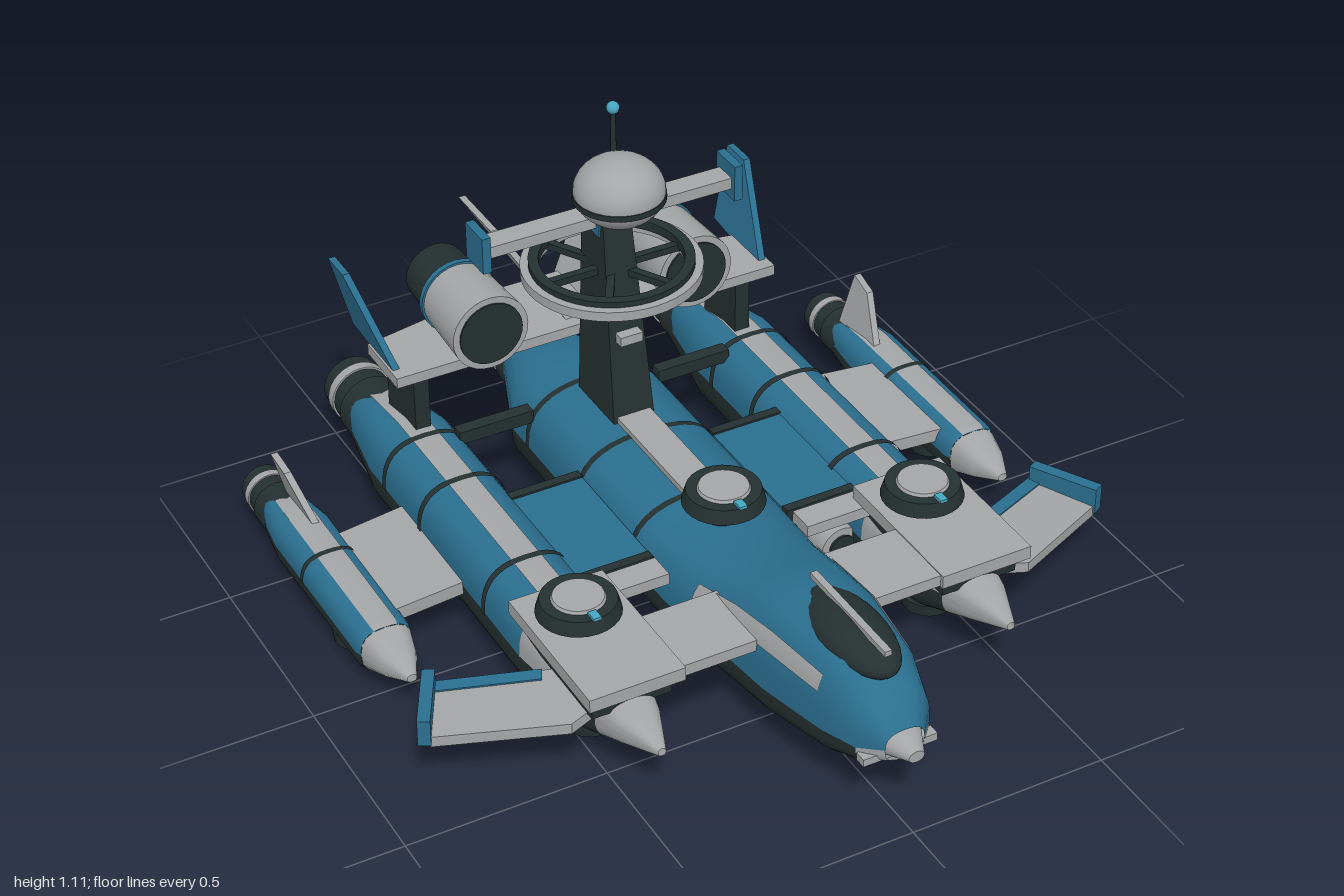
import * as THREE from 'three';

const mat = (name, color, side = THREE.FrontSide) => {
  const m = new THREE.MeshStandardMaterial({ color, side });
  m.name = name;
  return m;
};

export function createModel() {
  const root = new THREE.Group();
  root.name = 'spaceship';
  const blue = mat('blue paint', 0x2b6f90, THREE.DoubleSide);
  const dark = mat('dark hull', 0x253030, THREE.DoubleSide);
  const gray = mat('gray plating', 0xa3a5a6, THREE.DoubleSide);
  const glow = mat('engine glow', 0x45a8c2);

  const add = (name, geo, material, x = 0, y = 0, z = 0) => {
    const m = new THREE.Mesh(geo, material);
    m.name = name;
    m.position.set(x, y, z);
    root.add(m);
    return m;
  };
  const box = (name, m, x, y, z, w, h, d) => add(name, new THREE.BoxGeometry(w, h, d), m, x, y, z);
  const disc = (name, m, x, y, z, r0, r1, h) => add(name, new THREE.CylinderGeometry(r1, r0, h, 28), m, x, y, z);
  const tube = (name, m, x, y, z0, z1, rFront, rBack) =>
    add(name, new THREE.CylinderGeometry(rFront, rBack, z0 - z1, 28).rotateX(Math.PI / 2), m, x, y, (z0 + z1) / 2);

  // Horizontal plate from an x,z outline; slope drops it outward from x = 0.6
  const plate = (name, m, pts, y, t, slope = 0) => {
    const g = new THREE.ExtrudeGeometry(new THREE.Shape(pts.map(([x, z]) => new THREE.Vector2(x, -z))),
      { depth: t, bevelEnabled: false }).rotateX(-Math.PI / 2).translate(0, y, 0);
    const p = g.attributes.position;
    for (let i = 0; i < p.count; i++) p.setY(i, p.getY(i) - slope * (Math.abs(p.getX(i)) - 0.6));
    g.computeVertexNormals();
    return add(name, g, m);
  };
  // Upright fin from a z,y outline; lean shifts x with height
  const fin = (name, m, pts, x, t, lean = 0) => {
    const g = new THREE.ExtrudeGeometry(new THREE.Shape(pts.map(p => new THREE.Vector2(...p))),
      { depth: t, bevelEnabled: false }).translate(0, 0, -t / 2).rotateY(-Math.PI / 2);
    const p = g.attributes.position;
    for (let i = 0; i < p.count; i++) p.setX(i, p.getX(i) + x + lean * (p.getY(i) - pts[0][1]));
    g.computeVertexNormals();
    return add(name, g, m);
  };

  // Hull skin over sections [z, halfWidth, beltY, topY, bottomY] (z falling),
  // limited to an angle range in degrees and a z range
  const skin = (name, m, x, sections, a0, a1, z0 = 9, z1 = -9, swell = 1) => {
    const at = z => {
      const i = sections.findIndex((s, k) => k && s[0] <= z);
      const a = sections[i - 1], b = sections[i], t = (z - a[0]) / (b[0] - a[0]);
      return a.map((v, k) => v + (b[k] - v) * t);
    };
    const first = sections[0][0], last = sections[sections.length - 1][0];
    const hi = Math.min(z0, first), lo = Math.max(z1, last);
    const rows = [at(hi), ...sections.filter(s => s[0] < hi && s[0] > lo), at(lo)];
    const n = 17, pos = [], idx = [];
    rows.forEach(([z, w, belt, top, bottom], i) => {
      for (let j = 0; j < n; j++) {
        const a = THREE.MathUtils.degToRad(a0 + (a1 - a0) * j / (n - 1));
        const c = Math.cos(a), s = Math.sin(a), h = s > 0 ? top - belt : belt - bottom;
        pos.push(x + swell * w * Math.sign(c) * Math.abs(c) ** 0.75,
          belt + swell * h * Math.sign(s) * Math.abs(s) ** 0.75, z);
        if (i && j) {
          const d = i * n + j, q = d - 1, b = d - n, p = b - 1;
          idx.push(p, q, b, b, q, d);
        }
      }
    });
    const g = new THREE.BufferGeometry();
    g.setAttribute('position', new THREE.Float32BufferAttribute(pos, 3));
    g.setIndex(idx);
    g.computeVertexNormals();
    return add(name, g, m);
  };

  // Engine with flared collar, pale band and glowing exhaust
  const engine = (name, x, y, r, z0, z1) => {
    const len = z0 - z1;
    tube(name, dark, x, y, z0, z1 + 0.005, r, r * 0.95);
    tube(name + 'Collar', dark, x, y, z0 + 0.02, z0 - len * 0.35, r * 1.08, r * 1.08);
    tube(name + 'Band', gray, x, y, z1 + len * 0.38, z1 + len * 0.24, r * 1.03, r * 1.03);
    tube(name + 'Glow', glow, x, y, z1 + 0.012, z1, r * 0.85, r * 0.85);
  };
  const lander = (x, z, r, y = 0.025) => {
    disc('bellyThruster', dark, x, y, z, r, r * 1.1, 0.035);
    disc('bellyThrusterGlow', glow, x, 0.006, z, r * 0.75, r * 0.75, 0.012);
  };
  const turret = (x, y, z) => {
    disc('turretNeck', dark, x, y - 0.03, z, 0.05, 0.05, 0.06);
    disc('turretBase', dark, x, y + 0.015, z, 0.1, 0.09, 0.035);
    disc('turretCap', gray, x, y + 0.034, z, 0.066, 0.06, 0.012);
    box('turretMark', glow, x, y + 0.036, z + 0.08, 0.02, 0.008, 0.03);
  };

  // Central hull
  const main = [
    [0.95, 0.05, 0.22, 0.26, 0.18], [0.9, 0.095, 0.21, 0.33, 0.15], [0.8, 0.125, 0.2, 0.39, 0.11],
    [0.6, 0.155, 0.18, 0.4, 0.07], [0.45, 0.165, 0.17, 0.37, 0.05], [0.3, 0.18, 0.16, 0.32, 0.035],
    [0.1, 0.19, 0.16, 0.31, 0.025], [-0.6, 0.19, 0.16, 0.31, 0.025], [-0.83, 0.1, 0.16, 0.25, 0.07]];
  skin('mainHullTop', blue, 0, main, 0, 180);
  skin('mainHullBelly', dark, 0, main, 180, 360, 0.9);
  skin('noseChin', gray, 0, main, 180, 360, 0.95, 0.9);
  const tip = tube('noseTip', gray, 0, 0.22, 1, 0.92, 0.02, 0.06);
  tip.scale.y = 0.75;
  tip.position.y = 0.22;
  for (const z of [0.04, -0.23, -0.5]) skin('mainHullSeam', dark, 0, main, 0, 180, z, z - 0.018, 1.012);
  box('mainHullSpine', gray, 0, 0.314, -0.15, 0.09, 0.02, 0.4);
  for (const [a, b] of [[22, 38], [142, 158]]) skin('noseSidePanel', gray, 0, main, a, b, 0.78, 0.3, 1.015);
  box('noseSensor', gray, 0, 0.19, 0.92, 0.19, 0.02, 0.03);
  engine('mainEngine', 0, 0.16, 0.094, -0.81, -1);
  lander(0, 0.49, 0.065, 0.035);
  lander(0, -0.38, 0.07);
  turret(0, 0.355, 0.14);

  // Canopy
  add('canopy', new THREE.SphereGeometry(1, 28, 16), dark, 0, 0.365, 0.71).scale.set(0.082, 0.05, 0.175);
  box('canopyRib', gray, 0, 0.415, 0.71, 0.018, 0.014, 0.32);

  // Side hulls, outer pods, wings and connectors
  const side = [
    [0.68, 0.01, 0.18, 0.19, 0.17], [0.57, 0.055, 0.18, 0.225, 0.13], [0.4, 0.1, 0.17, 0.25, 0.06],
    [0.2, 0.112, 0.15, 0.27, 0.03], [-0.62, 0.112, 0.15, 0.27, 0.03], [-0.82, 0.08, 0.15, 0.23, 0.075]];
  const pod = [
    [0.12, 0.012, 0.12, 0.13, 0.11], [0.05, 0.045, 0.115, 0.155, 0.08], [-0.04, 0.07, 0.11, 0.175, 0.045],
    [-0.5, 0.073, 0.11, 0.175, 0.03], [-0.63, 0.055, 0.105, 0.16, 0.05]];
  for (const s of [1, -1]) {
    const hx = 0.455 * s, px = 0.8 * s;
    const mir = pts => pts.map(([x, z]) => [x * s, z]);

    skin('sideHullNose', gray, hx, side, 0, 180, 9, 0.2);
    skin('sideHullNoseUnder', gray, hx, side, 180, 360, 9, 0.5);
    skin('sideHullTop', blue, hx, side, 0, 180, 0.2);
    skin('sideHullBelly', dark, hx, side, 180, 360, 0.5);
    skin('sideHullStripe', gray, hx, side, 78, 102, 0.2, -0.8, 1.03);
    for (const z of [0.03, -0.32, -0.52]) skin('sideHullSeam', dark, hx, side, 0, 180, z, z - 0.018, 1.04);
    engine('sideEngine', hx, 0.155, 0.078, -0.8, -0.99);
    lander(hx, 0.33, 0.062, 0.03);
    lander(hx, -0.38, 0.062);

    skin('podNose', gray, px, pod, 0, 360, 9, -0.02);
    skin('podTop', blue, px, pod, 0, 180, -0.02);
    skin('podBelly', dark, px, pod, 180, 360, -0.02);
    skin('podStripe', gray, px, pod, 70, 110, -0.02, -0.6, 1.03);
    skin('podSeam', dark, px, pod, 0, 180, -0.33, -0.345, 1.04);
    engine('podEngine', px, 0.105, 0.057, -0.61, -0.76);
    lander(px, -0.21, 0.05);
    fin('podFin', gray, [[-0.44, 0.16], [-0.62, 0.16], [-0.61, 0.295], [-0.54, 0.28]], 0.78 * s, 0.018, 0.27 * s);
    plate('podWing', gray, mir([[0.54, -0.44], [0.75, -0.41], [0.75, -0.08], [0.54, -0.1]]), 0.125, 0.035);

    // Forward platform and drooping canard
    box('forwardBeam', gray, 0.24 * s, 0.275, 0.46, 0.24, 0.03, 0.2);
    box('platform', gray, hx, 0.275, 0.37, 0.24, 0.035, 0.4);
    box('platformUnder', dark, hx, 0.235, 0.36, 0.2, 0.05, 0.36);
    turret(hx, 0.305, 0.285);
    plate('canard', gray, mir([[0.5, 0.37], [0.8, 0.23], [0.88, 0.39], [0.6, 0.53], [0.5, 0.5]]), 0.18, 0.028, 0.1);
    plate('canardFlap', blue, mir([[0.575, 0.335], [0.8, 0.23], [0.815, 0.26], [0.59, 0.365]]), 0.178, 0.034, 0.1);
    const tipPlate = box('canardTip', blue, 0.85 * s, 0.195, 0.31, 0.03, 0.07, 0.18);
    tipPlate.rotation.y = 0.5 * s;

    // Links between the hulls
    box('hullLink', blue, 0.275 * s, 0.215, -0.065, 0.19, 0.05, 0.34);
    for (const z of [-0.245, 0.115]) box('hullLinkEdge', dark, 0.275 * s, 0.215, z, 0.19, 0.06, 0.025);
    box('forwardLink', gray, 0.275 * s, 0.24, 0.18, 0.18, 0.03, 0.07);
    box('rearLink', dark, 0.275 * s, 0.25, -0.52, 0.2, 0.035, 0.035);
    tube('fuelTank', gray, 0.315 * s, 0.11, 0.16, -0.26, 0.055, 0.055);
    tube('fuelTankCap', dark, 0.315 * s, 0.11, 0.166, 0.16, 0.035, 0.035);

    // Tail pylon, nacelle and fins
    box('tailPylon', dark, 0.445 * s, 0.345, -0.64, 0.04, 0.19, 0.16);
    tube('nacelle', gray, 0.28 * s, 0.53, -0.505, -0.7, 0.1, 0.092);
    tube('nacelleIntake', dark, 0.28 * s, 0.53, -0.5, -0.506, 0.083, 0.083);
    tube('nacelleCollar', blue, 0.28 * s, 0.53, -0.685, -0.7, 0.098, 0.098);
    tube('nacelleExhaust', dark, 0.28 * s, 0.53, -0.7, -0.815, 0.086, 0.08);
    tube('nacelleGlow', glow, 0.28 * s, 0.53, -0.81, -0.822, 0.07, 0.07);
    fin('tailFin', blue, [[-0.55, 0.44], [-0.8, 0.46], [-0.815, 0.655], [-0.73, 0.655]], 0.5 * s, 0.018, 0.24 * s);
    fin('centreFin', gray, [[-0.56, 0.45], [-0.78, 0.45], [-0.85, 0.7], [-0.67, 0.7]], 0.035 * s, 0.018, 0.6 * s);

    // Mast crossbar ends and deck rail
    box('crossbarTip', blue, 0.335 * s, 0.83, -0.435, 0.022, 0.095, 0.09);
  }
  plate('tailPlane', gray, [[-0.52, -0.53], [0.52, -0.53], [0.52, -0.7], [0.15, -0.77], [-0.15, -0.77], [-0.52, -0.7]], 0.432, 0.028);

  // Mast: wide raked foot narrowing to the top
  const mast = new THREE.BoxGeometry(1, 1, 1);
  const mp = mast.attributes.position;
  for (let i = 0; i < mp.count; i++) {
    const up = mp.getY(i) > 0, front = mp.getZ(i) > 0;
    mp.setXYZ(i, Math.sign(mp.getX(i)) * (up ? 0.036 : 0.056), up ? 0.87 : 0.28, front ? (up ? -0.385 : -0.3) : -0.49);
  }
  mast.computeVertexNormals();
  add('mast', mast, dark);
  box('mastBox', gray, 0, 0.535, -0.335, 0.06, 0.025, 0.05);
  box('mastCap', blue, 0, 0.83, -0.435, 0.085, 0.08, 0.09);
  box('crossbar', gray, 0, 0.825, -0.435, 0.66, 0.03, 0.06);

  // Observation ring with spokes
  const annulus = (r, hole) => {
    const s = new THREE.Shape().absarc(0, 0, r, 0, Math.PI * 2);
    s.holes.push(new THREE.Path().absarc(0, 0, hole, 0, Math.PI * 2, true));
    return new THREE.ExtrudeGeometry(s, { depth: 0.025, bevelEnabled: false, curveSegments: 24 }).rotateX(-Math.PI / 2);
  };
  add('ring', annulus(0.22, 0.18), gray, 0, 0.675, -0.41);
  add('ringRail', annulus(0.2, 0.175), dark, 0, 0.69, -0.41);
  for (let i = 0; i < 3; i++) box('ringSpoke', dark, 0, 0.69, -0.41, 0.37, 0.018, 0.02).rotation.y = i * Math.PI / 3;

  // Radar dome and antenna
  add('dome', new THREE.SphereGeometry(0.11, 32, 20), gray, 0, 0.925, -0.365).scale.y = 0.78;
  disc('domeBand', dark, 0, 0.912, -0.365, 0.112, 0.112, 0.015);
  disc('antenna', dark, 0.03, 0.99, -0.45, 0.008, 0.006, 0.2);
  add('antennaTip', new THREE.SphereGeometry(0.016, 16, 10), glow, 0.03, 1.095, -0.45);

  return root;
}
